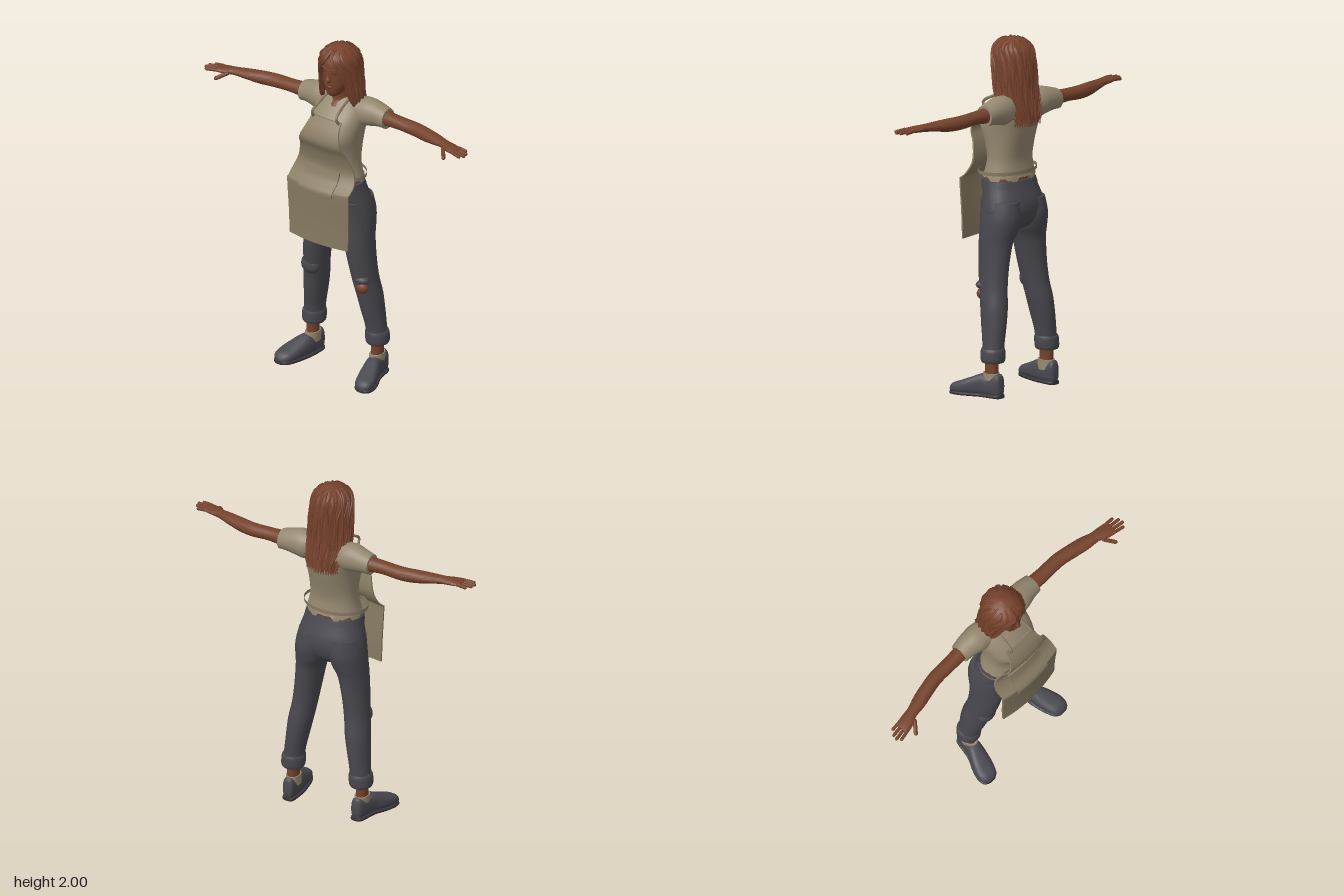
import * as THREE from 'three';
import { toCreasedNormals } from 'three/addons/utils/BufferGeometryUtils.js';

const mat = (name, color, side = THREE.FrontSide) => {
  const m = new THREE.MeshStandardMaterial({ color, side });
  m.name = name;
  return m;
};
const V = (x, y, z) => new THREE.Vector3(x, y, z);

// Smoothly subdivides a table of section rows
function smooth(rows, steps = 4) {
  const curves = rows[0].map((_, k) => new THREE.SplineCurve(rows.map((r, i) => new THREE.Vector2(i, r[k]))));
  const n = (rows.length - 1) * steps;
  return Array.from({ length: n + 1 }, (_, i) => curves.map((c) => c.getPoint(i / n).y));
}

// Joins rings of points into a closed skin
function skinRings(rings, caps = true, crease = 1) {
  const pos = [], idx = [], n = rings[0].length;
  rings.forEach((r) => r.forEach((p) => pos.push(p.x, p.y, p.z)));
  for (let i = 0; i < rings.length - 1; i++) {
    for (let j = 0; j < n; j++) {
      const a = i * n + j, b = i * n + (j + 1) % n;
      idx.push(a, a + n, b, b, a + n, b + n);
    }
  }
  if (caps) {
    [0, rings.length - 1].forEach((i) => {
      const c = rings[i].reduce((s, p) => s.add(p), V(0, 0, 0)).divideScalar(n);
      const ci = pos.length / 3;
      pos.push(c.x, c.y, c.z);
      for (let j = 0; j < n; j++) {
        const a = i * n + j, b = i * n + (j + 1) % n;
        if (i === 0) idx.push(ci, a, b); else idx.push(ci, b, a);
      }
    });
  }
  const g = new THREE.BufferGeometry();
  g.setAttribute('position', new THREE.Float32BufferAttribute(pos, 3));
  g.setIndex(idx);
  return toCreasedNormals(g, crease);
}

// Lofts rows of [position, low1, high1, low2, high2] along an axis; power > 2 gives squarer sections
function loft(axis, rows, { power = 2, sides = 28, edge } = {}) {
  const round = (v) => Math.sign(v) * Math.abs(v) ** (2 / power);
  const rings = smooth(rows).map(([t, a0, a1, b0, b1], i) => Array.from({ length: sides }, (_, j) => {
    const th = j / sides * Math.PI * 2;
    const a = (a0 + a1) / 2 + (a1 - a0) / 2 * round(Math.cos(th));
    const s = (b1 - b0) / 2 * round(Math.sin(th)), b = (b0 + b1) / 2;
    if (axis === 'y') return V(a, t + (edge && i === 0 ? edge(th) : 0), b + s);
    return axis === 'x' ? V(t, a, b - s) : V(a, b - s, t);
  }));
  return skinRings(rings);
}
const body = (rows, opt) => loft('y', rows.map(([y, w, back, front]) => [y, -w, w, back, front]), opt);

// Reflects a geometry across x and restores its winding
function mirrored(src) {
  const g = src.index ? src.toNonIndexed() : src.clone();
  g.scale(-1, 1, 1);
  Object.values(g.attributes).forEach((at) => {
    const s = at.itemSize, d = at.array;
    for (let i = 0; i < at.count; i += 3) for (let k = 0; k < s; k++) {
      const p = (i + 1) * s + k, q = (i + 2) * s + k;
      [d[p], d[q]] = [d[q], d[p]];
    }
  });
  return g;
}

const blob = (x, y, z, sx, sy, sz) => new THREE.SphereGeometry(1, 20, 14).scale(sx, sy, sz).translate(x, y, z);
const tube = (pts, r, n = 20, sides = 6) => new THREE.TubeGeometry(new THREE.CatmullRomCurve3(pts), n, r, sides);
function finger(a, b, r) {
  const d = b.clone().sub(a), g = new THREE.CapsuleGeometry(r, d.length(), 4, 10);
  g.applyQuaternion(new THREE.Quaternion().setFromUnitVectors(V(0, 1, 0), d.normalize()));
  const m = a.clone().add(b).multiplyScalar(0.5);
  return g.translate(m.x, m.y, m.z);
}

// Curved cloth panel from rows of [height, half width, depth]
function cloth(rows, thick, lift = 0) {
  const n = 12;
  return skinRings(smooth(rows).map(([y, w, z]) => {
    const side = (off, dir) => Array.from({ length: n + 1 }, (_, j) => {
      const x = dir * w * (1 - 2 * j / n);
      return V(x, y, z + lift + off - 0.6 * x * x);
    });
    return [...side(0, 1), ...side(-thick, -1)];
  }), true, 0.7);
}

export function createModel() {
  const model = new THREE.Group();
  const skin = mat('skin', 0x74422b), hairMat = mat('hair', 0x78432d, THREE.DoubleSide);
  const shirt = mat('shirt', 0x958870), apron = mat('apron', 0x877a62, THREE.DoubleSide);
  const denim = mat('denim', 0x48474e), shoe = mat('shoe', 0x494950), sole = mat('sole', 0x37373d);
  const lip = mat('lips', 0x663524), eye = mat('eyes', 0x4a291b);
  const add = (name, geo, m) => {
    const mesh = new THREE.Mesh(geo, m);
    mesh.name = name;
    model.add(mesh);
  };
  const pair = (name, geo, m) => { add(name + 'Left', geo, m); add(name + 'Right', mirrored(geo), m); };

  // Head, neck and face
  add('head', body([[1.715, 0.025, -0.02, 0.04], [1.735, 0.047, -0.06, 0.055], [1.78, 0.07, -0.09, 0.062],
    [1.83, 0.08, -0.12, 0.064], [1.88, 0.083, -0.14, 0.064], [1.93, 0.075, -0.14, 0.054], [1.972, 0.04, -0.11, 0.01]]), skin);
  add('neck', body([[1.58, 0.1, -0.14, 0.05], [1.64, 0.078, -0.13, 0.025], [1.68, 0.055, -0.125, -0.005], [1.76, 0.046, -0.1, 0]]), skin);
  add('nose', loft('y', [[1.812, -0.014, 0.014, 0.04, 0.074], [1.822, -0.017, 0.017, 0.04, 0.084],
    [1.85, -0.009, 0.009, 0.04, 0.073], [1.885, -0.007, 0.007, 0.04, 0.063]], { sides: 14 }), skin);
  add('lips', blob(0, 1.78, 0.057, 0.024, 0.009, 0.011), lip);
  pair('eye', blob(0.032, 1.868, 0.053, 0.016, 0.006, 0.01), eye);
  pair('brow', tube([V(0.012, 1.886, 0.064), V(0.035, 1.893, 0.059), V(0.056, 1.885, 0.045)], 0.004), hairMat);

  // Long hair: a ridged shell open at the face, with loose strands laid over it
  const N = 96;
  const hairRings = smooth([[2.0, 0.02, -0.03, -0.07, 0.02], [1.985, 0.062, 0.025, -0.115, 0.04], [1.95, 0.1, 0.066, -0.155, 0.12],
    [1.9, 0.115, 0.072, -0.17, 0.5], [1.85, 0.12, 0.068, -0.175, 0.72], [1.78, 0.124, 0.055, -0.178, 0.82],
    [1.72, 0.128, 0.045, -0.18, 0.88], [1.66, 0.13, 0.025, -0.188, 1.0], [1.6, 0.122, -0.02, -0.198, 1.35],
    [1.53, 0.1, -0.07, -0.203, 1.5]]).map(([y, w, front, back, gap], i, all) => {
    const c = (front + back) / 2, d = (front - back) / 2;
    const arc = (scale, j) => {
      const th = Math.PI / 2 + gap + (j / N) * 2 * (Math.PI - gap);
      const r = scale * (1 + 0.022 * Math.cos(j * 1.18 + y * 7));
      const ragged = i === all.length - 1 ? 0.02 * Math.sin(j * 1.3) : 0;
      return V(w * r * Math.cos(th), y + ragged, c + d * r * Math.sin(th));
    };
    const js = Array.from({ length: N + 1 }, (_, j) => j);
    return [...js.map((j) => arc(1, j)), ...js.reverse().map((j) => arc(0.85, j))];
  });
  add('hair', skinRings(hairRings, false, 1.2), hairMat);
  add('crown', blob(0, 1.978, -0.05, 0.05, 0.022, 0.05), hairMat);
  for (let s = 0; s <= 28; s++) {
    const j = Math.round(s / 28 * N), end = hairRings.length - 1 - (s * 5) % 4;
    const pts = [];
    for (let k = 3 + s % 3; k <= end; k += 3) pts.push(hairRings[k][Math.min(N, Math.max(0, j + Math.round(Math.sin(s * 3 + k * 0.3))))]);
    add('strand' + s, tube(pts, 0.0065, 24, 5), hairMat);
  }

  // Shirt with a ragged hem, and short sleeves
  add('waist', body([[1.17, 0.155, -0.125, 0.09], [1.26, 0.14, -0.115, 0.08]]), skin);
  add('shirtBody', body([[1.21, 0.162, -0.135, 0.1], [1.26, 0.148, -0.128, 0.088], [1.32, 0.138, -0.125, 0.08],
    [1.4, 0.14, -0.142, 0.1], [1.48, 0.148, -0.165, 0.13], [1.56, 0.155, -0.182, 0.095], [1.62, 0.148, -0.182, 0.045],
    [1.665, 0.115, -0.16, 0.0], [1.69, 0.065, -0.135, -0.02]],
  { power: 2.3, sides: 56, edge: (t) => 0.016 * Math.sin(t * 7) + 0.01 * Math.sin(t * 17) }), shirt);
  pair('sleeve', loft('x', [[0.06, 1.55, 1.692, -0.15, -0.01], [0.13, 1.53, 1.695, -0.17, -0.015], [0.18, 1.537, 1.695, -0.17, -0.02],
    [0.24, 1.548, 1.68, -0.165, -0.035], [0.29, 1.547, 1.665, -0.157, -0.042]]), shirt);

  // Arms and hands
  pair('arm', loft('x', [[0.24, 1.56, 1.655, -0.148, -0.055], [0.36, 1.572, 1.645, -0.138, -0.055], [0.48, 1.566, 1.642, -0.137, -0.055],
    [0.57, 1.567, 1.64, -0.122, -0.038], [0.65, 1.58, 1.634, -0.103, -0.02], [0.72, 1.588, 1.63, -0.078, -0.012],
    [0.76, 1.59, 1.627, -0.073, 0.008], [0.81, 1.594, 1.622, -0.065, 0.022], [0.83, 1.6, 1.618, -0.06, 0.02]]), skin);
  [[-0.054, 0.868, -0.052], [-0.031, 0.89, -0.024], [-0.009, 0.895, 0.002], [0.013, 0.878, 0.024]].forEach(([z, x, tip], i) =>
    pair('finger' + i, finger(V(0.815, 1.609, z), V(x - 0.005, 1.604, tip), 0.0095), skin));
  pair('thumb', finger(V(0.745, 1.605, 0.0), V(0.787, 1.582, 0.05), 0.0115), skin);

  // Trousers
  add('pelvis', body([[0.925, 0.1, -0.12, 0.03], [0.96, 0.17, -0.155, 0.06], [1.02, 0.203, -0.175, 0.07], [1.08, 0.195, -0.172, 0.082],
    [1.15, 0.176, -0.148, 0.097], [1.195, 0.165, -0.132, 0.104]], { power: 2.2 }), denim);
  add('waistband', body([[1.165, 0.175, -0.146, 0.106], [1.2, 0.167, -0.135, 0.11]], { power: 2.2 }), denim);
  pair('trouserLeg', loft('y', [[0.25, 0.158, 0.275, -0.158, -0.037], [0.32, 0.15, 0.267, -0.16, -0.028], [0.4, 0.135, 0.26, -0.162, -0.01],
    [0.5, 0.115, 0.252, -0.157, 0.008], [0.6, 0.1, 0.237, -0.142, 0.03], [0.72, 0.08, 0.226, -0.138, 0.05],
    [0.85, 0.052, 0.217, -0.146, 0.062], [0.92, 0.02, 0.214, -0.165, 0.066], [1.0, 0.005, 0.208, -0.18, 0.07],
    [1.09, 0.01, 0.19, -0.168, 0.08]]), denim);
  pair('trouserCuff', loft('y', [[0.2, 0.158, 0.28, -0.163, -0.036], [0.215, 0.152, 0.286, -0.168, -0.03], [0.26, 0.15, 0.284, -0.168, -0.028],
    [0.278, 0.155, 0.276, -0.162, -0.032]]), denim);
  add('tornKnee', blob(0.187, 0.568, 0.004, 0.042, 0.035, 0.03), skin);
  add('tornFlap', blob(0.185, 0.618, 0.004, 0.05, 0.026, 0.036), denim);
  add('kneePatch', blob(-0.172, 0.6, -0.005, 0.06, 0.06, 0.042), denim);

  // Ankles, sock tops and shoes
  pair('ankle', loft('y', [[0.07, 0.185, 0.26, -0.14, -0.04], [0.14, 0.19, 0.255, -0.135, -0.05], [0.24, 0.188, 0.255, -0.135, -0.052]]), skin);
  pair('sockTop', loft('y', [[0.08, 0.182, 0.263, -0.15, -0.032], [0.137, 0.184, 0.26, -0.146, -0.038]],
    { sides: 40 }), shirt);
  const shoeRows = [[-0.165, 0.2, 0.24, 0.02, 0.1], [-0.15, 0.188, 0.255, 0.005, 0.138], [-0.09, 0.185, 0.268, 0.005, 0.12],
    [-0.04, 0.187, 0.28, 0.005, 0.128], [0.02, 0.197, 0.31, 0.005, 0.104], [0.08, 0.212, 0.33, 0.005, 0.078],
    [0.125, 0.232, 0.326, 0.005, 0.06], [0.145, 0.26, 0.3, 0.012, 0.036]];
  pair('shoe', loft('z', shoeRows, { power: 2.6 }), shoe);
  pair('shoeSole', loft('z', shoeRows.map(([z, a, b]) => [z, a - 0.003, b + 0.003, 0, 0.02]), { power: 5 }), sole);

  // Apron with pocket, neck strap and waist tie
  add('apron', cloth([[0.855, 0.2, 0.176], [1.0, 0.205, 0.178], [1.185, 0.21, 0.188], [1.205, 0.211, 0.178], [1.245, 0.21, 0.135],
    [1.31, 0.19, 0.106], [1.4, 0.16, 0.125], [1.47, 0.14, 0.156], [1.54, 0.112, 0.13], [1.59, 0.1, 0.085]], 0.01), apron);
  add('apronPocket', cloth([[1.165, 0.115, 0.187], [1.185, 0.115, 0.188], [1.205, 0.115, 0.178], [1.245, 0.115, 0.135],
    [1.3, 0.114, 0.112]], 0.01, 0.008), apron);
  pair('neckStrap', tube([V(0.088, 1.58, 0.082), V(0.083, 1.622, 0.1), V(0.075, 1.66, 0.04), V(0.066, 1.692, -0.05),
    V(0.04, 1.7, -0.12), V(0, 1.7, -0.14)], 0.008, 32), apron);
  add('waistTie', new THREE.CylinderGeometry(1, 1, 0.02, 48, 1, true).scale(0.19, 1, 0.138).translate(0, 1.248, -0.005), apron);
  return model;
}
